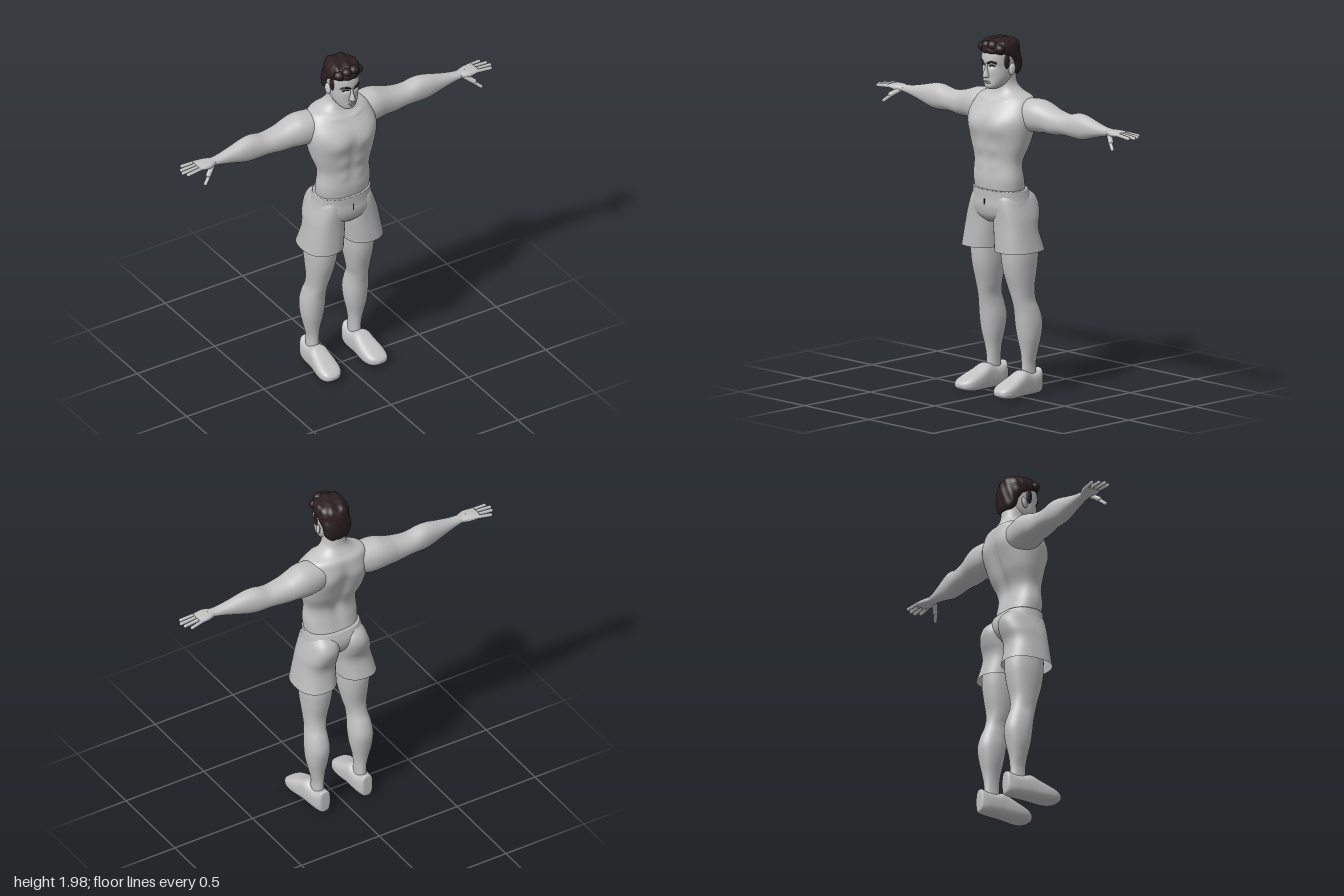
import * as THREE from 'three';

const material = (name, color, side = THREE.FrontSide) => {
  const m = new THREE.MeshStandardMaterial({ color, side });
  m.name = name;
  return m;
};
const skin = material('body grey', 0xc2c2c2);
const cloth = material('shorts grey', 0xb9b9b9, THREE.DoubleSide);
const dark = material('dark brown hair', 0x2c1f20);

// Maps (along, a, b) of a cross-section to a point
const AXES = {
  x: (t, a, b) => [t, a, b],
  y: (t, a, b) => [a, t, b],
  z: (t, a, b) => [a, b, t],
};

// Smooth skin through rows [along, aMin, aMax, bMin, bMax]
function loft(rows, { axis = 'y', n = 2.2, seg = 36, sub = 5, cap = true, flip = false, deform } = {}) {
  const pos = [], idx = [], steps = (rows.length - 1) * sub;
  const cr = (k, i, f) => {
    const p = [-1, 0, 1, 2].map(d => rows[Math.min(rows.length - 1, Math.max(0, i + d))][k]);
    return p[1] + 0.5 * f * (p[2] - p[0] + f * (2 * p[0] - 5 * p[1] + 4 * p[2] - p[3] + f * (3 * (p[1] - p[2]) + p[3] - p[0])));
  };
  const put = (t, a, b) => {
    const v = new THREE.Vector3(...AXES[axis](t, a, b));
    if (deform) deform(v);
    if (flip) v.x *= -1;
    pos.push(v.x, v.y, v.z);
  };
  const se = c => Math.sign(c) * Math.abs(c) ** (2 / n);
  const ends = [];
  for (let j = 0; j <= steps; j++) {
    const i = Math.min(rows.length - 2, Math.floor(j / sub)), f = j / sub - i;
    const [t, a0, a1, b0, b1] = [0, 1, 2, 3, 4].map(k => cr(k, i, f));
    ends.push([t, (a0 + a1) / 2, (b0 + b1) / 2]);
    for (let s = 0; s < seg; s++) {
      const w = s / seg * Math.PI * 2;
      put(t, (a0 + a1) / 2 + (a1 - a0) / 2 * se(Math.cos(w)), (b0 + b1) / 2 + (b1 - b0) / 2 * se(Math.sin(w)));
      if (j < steps) {
        const p = j * seg + s, q = j * seg + (s + 1) % seg;
        idx.push(p, p + seg, q, q, p + seg, q + seg);
      }
    }
  }
  if (cap) {
    const c = pos.length / 3;
    put(...ends[0]);
    put(...ends[steps]);
    for (let s = 0; s < seg; s++) {
      const r = (s + 1) % seg;
      idx.push(c, s, r, c + 1, steps * seg + r, steps * seg + s);
    }
  }
  // Keep the faces outward for either axis order and mirroring
  if ((axis === 'x') !== flip) for (let k = 0; k < idx.length; k += 3) [idx[k + 1], idx[k + 2]] = [idx[k + 2], idx[k + 1]];
  // The z-axis and x-axis frames have opposite handedness to the y-axis frame
  if (axis !== 'y') for (let k = 0; k < idx.length; k += 3) [idx[k + 1], idx[k + 2]] = [idx[k + 2], idx[k + 1]];
  const g = new THREE.BufferGeometry();
  g.setAttribute('position', new THREE.Float32BufferAttribute(pos, 3));
  // Final check by signed volume about the centre
  const P = i => new THREE.Vector3().fromArray(pos, i * 3);
  const mid = new THREE.Box3().setFromBufferAttribute(g.attributes.position).getCenter(new THREE.Vector3());
  let vol = 0;
  for (let k = 0; k < idx.length; k += 3) vol += P(idx[k]).sub(mid).dot(P(idx[k + 1]).sub(mid).cross(P(idx[k + 2]).sub(mid)));
  if (vol < 0) idx.reverse();
  g.setIndex(idx);
  g.computeVertexNormals();
  return g;
}

const sym = rows => rows.map(([t, w, b0, b1]) => [t, -w, w, b0, b1]);
const bump = (v, c, w) => Math.exp(-(((v - c) / w) ** 2));

export function createModel() {
  const model = new THREE.Group();
  model.name = 'man';
  const add = (name, geometry, mat, parent = model) => {
    const m = new THREE.Mesh(geometry, mat);
    m.name = name;
    parent.add(m);
    return m;
  };
  const tube = (pts, r) => new THREE.TubeGeometry(new THREE.CatmullRomCurve3(pts.map(p => new THREE.Vector3(...p))), 12, r, 8);
  // Rounded finger between two points
  const finger = (name, p, q, r, parent) => {
    const a = new THREE.Vector3(...p), b = new THREE.Vector3(...q), d = b.clone().sub(a);
    const m = add(name, new THREE.CapsuleGeometry(r, d.length() - r, 5, 10), skin, parent);
    m.position.copy(a).add(b).multiplyScalar(0.5);
    m.quaternion.setFromUnitVectors(new THREE.Vector3(0, 1, 0), d.normalize());
  };

  // Torso and neck, with chest, collarbone, abdomen and spine relief
  add('torso', loft(sym([
    [1.1, 0.15, -0.115, 0.1], [1.2, 0.16, -0.09, 0.112], [1.3, 0.156, -0.078, 0.105], [1.4, 0.186, -0.122, 0.118],
    [1.5, 0.207, -0.152, 0.13], [1.56, 0.208, -0.165, 0.12], [1.62, 0.19, -0.16, 0.08], [1.655, 0.165, -0.15, 0.05],
    [1.682, 0.105, -0.125, 0.034], [1.72, 0.069, -0.1, 0.03], [1.78, 0.062, -0.09, 0.04], [1.84, 0.06, -0.08, 0.04],
  ]), {
    seg: 64, sub: 7, n: 2.3, deform: v => {
      const x = Math.abs(v.x), y = v.y;
      if (v.z > 0) {
        v.z += 0.014 * bump(x, 0.085, 0.065) * bump(y, 1.5, 0.055) - 0.006 * bump(x, 0, 0.015) * bump(y, 1.42, 0.14);
        v.z += 0.005 * bump(x, 0.05, 0.035) * (bump(y, 1.37, 0.03) + bump(y, 1.28, 0.03));
        v.z += 0.006 * bump(x, 0.065, 0.045) * bump(y, 1.64 + 0.1 * (x - 0.05), 0.009);
      } else if (v.z < -0.03) {
        v.z += 0.024 * bump(x, 0, 0.03) * bump(y, 1.42, 0.17);
        v.z -= 0.01 * bump(x, 0.1, 0.05) * bump(y, 1.53, 0.07);
      }
    },
  }), skin);

  // Shorts: seat and two open legs
  const shorts = new THREE.Group();
  shorts.name = 'shorts';
  model.add(shorts);
  add('seat', loft(sym([
    [1.148, 0.163, -0.118, 0.116], [1.1, 0.172, -0.138, 0.118], [1.05, 0.18, -0.135, 0.123],
    [1, 0.14, -0.1, 0.112], [0.965, 0.05, -0.06, 0.08],
  ]), { n: 2.4 }), cloth, shorts);
  add('fly', new THREE.BoxGeometry(0.007, 0.035, 0.004), dark, shorts).position.set(0, 1.08, 0.121);

  // Head and face
  const head = new THREE.Group();
  head.name = 'head';
  model.add(head);
  add('skull', loft(sym([
    [1.703, 0.024, 0.04, 0.086], [1.715, 0.042, 0, 0.1], [1.735, 0.058, -0.03, 0.103], [1.765, 0.071, -0.06, 0.103],
    [1.8, 0.077, -0.085, 0.105], [1.835, 0.079, -0.092, 0.106], [1.86, 0.08, -0.095, 0.111], [1.91, 0.08, -0.095, 0.103],
    [1.95, 0.06, -0.07, 0.07],
  ]), {
    seg: 56, sub: 6, n: 2.3, deform: v => {
      const x = Math.abs(v.x);
      if (v.z > 0.04) v.z -= 0.009 * bump(x, 0.032, 0.018) * bump(v.y, 1.835, 0.013);
    },
  }), skin, head);
  add('nose', loft(sym([
    [1.767, 0.009, 0.07, 0.112], [1.775, 0.018, 0.07, 0.129], [1.79, 0.015, 0.07, 0.129],
    [1.82, 0.009, 0.07, 0.118], [1.85, 0.011, 0.07, 0.11],
  ]), { seg: 20 }), skin, head);
  for (const [i, y] of [1.748, 1.738].entries())
    add(i ? 'lowerLip' : 'upperLip', tube([[-0.025, 1.743, 0.097], [0, y, 0.106], [0.025, 1.743, 0.097]], 0.004), skin, head);

  // Hair, lifted over the forehead and combed into waves
  add('hair', loft(sym([
    [1.77, 0.05, -0.096, -0.06], [1.795, 0.077, -0.106, -0.035], [1.84, 0.084, -0.112, -0.015], [1.875, 0.087, -0.114, 0.03],
    [1.9, 0.089, -0.113, 0.1], [1.925, 0.091, -0.11, 0.112], [1.95, 0.086, -0.1, 0.1], [1.968, 0.07, -0.075, 0.075], [1.977, 0.035, -0.04, 0.04],
  ]), {
    seg: 72, sub: 6, deform: v => {
      const w = Math.atan2(v.x, v.z), k = 1 + 0.022 * Math.sin(w * 13 + v.y * 45);
      v.x *= k;
      v.z *= k;
      if (v.y > 1.93) v.y += 0.005 * Math.sin(v.x * 90 + v.z * 25);
    },
  }), dark, head);
  for (const [x, y, z, r] of [[-0.06, 1.93, 0.07, 0.032], [-0.02, 1.945, 0.085, 0.03], [0.025, 1.948, 0.085, 0.032], [0.062, 1.93, 0.066, 0.03]]) {
    const lock = add('frontLock', new THREE.SphereGeometry(r, 16, 12), dark, head);
    lock.position.set(x, y, z);
    lock.scale.set(1, 0.85, 0.9);
  }

  for (const s of [1, -1]) {
    const flip = s < 0, side = flip ? 'right' : 'left';
    const part = name => {
      const g = new THREE.Group();
      g.name = side + name;
      model.add(g);
      return g;
    };

    // Brow, eye, sideburn and ear
    add(side + 'Brow', tube([[s * 0.013, 1.851, 0.109], [s * 0.035, 1.86, 0.104], [s * 0.06, 1.852, 0.084]], 0.0055), dark, head);
    add(side + 'Eye', tube([[s * 0.018, 1.834, 0.1], [s * 0.033, 1.839, 0.097], [s * 0.052, 1.834, 0.088]], 0.0035), dark, head);
    const burn = add(side + 'Sideburn', new THREE.SphereGeometry(1, 14, 10), dark, head);
    burn.position.set(s * 0.076, 1.86, 0.024);
    burn.scale.set(0.011, 0.045, 0.02);
    const ear = add(side + 'Ear', new THREE.SphereGeometry(1, 16, 12), skin, head);
    ear.position.set(s * 0.084, 1.812, -0.008);
    ear.rotation.set(-0.2, s * -0.3, 0);
    ear.scale.set(0.01, 0.033, 0.02);

    // Arm from shoulder to wrist, then the hand
    const arm = part('Arm');
    add(side + 'ArmMuscle', loft([
      [0.1, 1.5, 1.645, -0.145, 0], [0.17, 1.475, 1.655, -0.16, 0.022], [0.24, 1.475, 1.657, -0.165, 0.02],
      [0.3, 1.48, 1.64, -0.16, 0.008], [0.36, 1.479, 1.621, -0.15, 0], [0.45, 1.488, 1.608, -0.142, -0.008],
      [0.53, 1.483, 1.625, -0.135, -0.012], [0.59, 1.488, 1.622, -0.124, -0.014], [0.66, 1.508, 1.605, -0.11, -0.02],
      [0.74, 1.53, 1.588, -0.094, -0.026], [0.8, 1.542, 1.582, -0.086, -0.028], [0.83, 1.545, 1.582, -0.09, -0.024],
    ], { axis: 'x', flip }), skin, arm);
    add(side + 'Palm', loft([
      [0.79, 1.545, 1.58, -0.084, -0.03], [0.83, 1.544, 1.582, -0.1, -0.012], [0.87, 1.549, 1.58, -0.108, -0.012],
      [0.9, 1.555, 1.576, -0.106, -0.018],
    ], { axis: 'x', flip, n: 2.6, seg: 24 }), skin, arm);
    [[-0.098, -0.113, 0.968], [-0.075, -0.08, 0.992], [-0.05, -0.05, 1], [-0.027, -0.021, 0.985]].forEach(([z0, z1, x], i) =>
      finger(side + 'Finger' + (i + 1), [s * 0.875, 1.566, z0], [s * (x - 0.005), 1.558, z1], 0.0105, arm));
    finger(side + 'ThumbBase', [s * 0.815, 1.555, -0.032], [s * 0.862, 1.522, 0.001], 0.015, arm);
    finger(side + 'ThumbTip', [s * 0.845, 1.53, -0.006], [s * 0.893, 1.488, 0.019], 0.0105, arm);

    // Short leg with flared open hem
    add(side + 'ShortsLeg', loft([
      [1.13, 0.03, 0.145, -0.115, 0.09], [1.1, 0.008, 0.168, -0.15, 0.104], [1.055, 0, 0.186, -0.166, 0.11],
      [1, 0, 0.205, -0.156, 0.11], [0.95, 0.002, 0.215, -0.138, 0.111], [0.9, 0.006, 0.225, -0.138, 0.114], [0.81, 0.012, 0.244, -0.163, 0.12],
    ], { cap: false, flip, n: 2.4 }), cloth, shorts);

    // Leg with thigh, knee and calf
    const leg = part('Leg');
    add(side + 'LegMuscle', loft([
      [0.98, 0.02, 0.19, -0.13, 0.085], [0.8, 0.03, 0.204, -0.142, 0.08], [0.7, 0.04, 0.2, -0.132, 0.068],
      [0.6, 0.06, 0.191, -0.114, 0.04], [0.53, 0.077, 0.188, -0.122, 0.022], [0.47, 0.076, 0.198, -0.145, 0.008],
      [0.4, 0.072, 0.205, -0.16, -0.002], [0.32, 0.08, 0.2, -0.15, -0.015], [0.24, 0.097, 0.182, -0.134, -0.032],
      [0.17, 0.105, 0.167, -0.128, -0.038], [0.08, 0.105, 0.17, -0.13, -0.035],
    ], { flip }), skin, leg);

    // Shoe with a flat sole
    add(side + 'Shoe', loft([
      [-0.166, 0.115, 0.155, 0.02, 0.125], [-0.158, 0.1, 0.172, 0.003, 0.14], [-0.12, 0.09, 0.184, 0, 0.126], [-0.07, 0.087, 0.19, 0, 0.126],
      [-0.02, 0.085, 0.196, 0, 0.142], [0.03, 0.08, 0.204, 0, 0.12], [0.08, 0.079, 0.211, 0, 0.099],
      [0.125, 0.085, 0.21, 0.006, 0.08], [0.155, 0.105, 0.197, 0.016, 0.064], [0.17, 0.135, 0.172, 0.03, 0.048],
    ], { axis: 'z', flip, n: 2.8 }), skin, leg);
  }
  return model;
}
